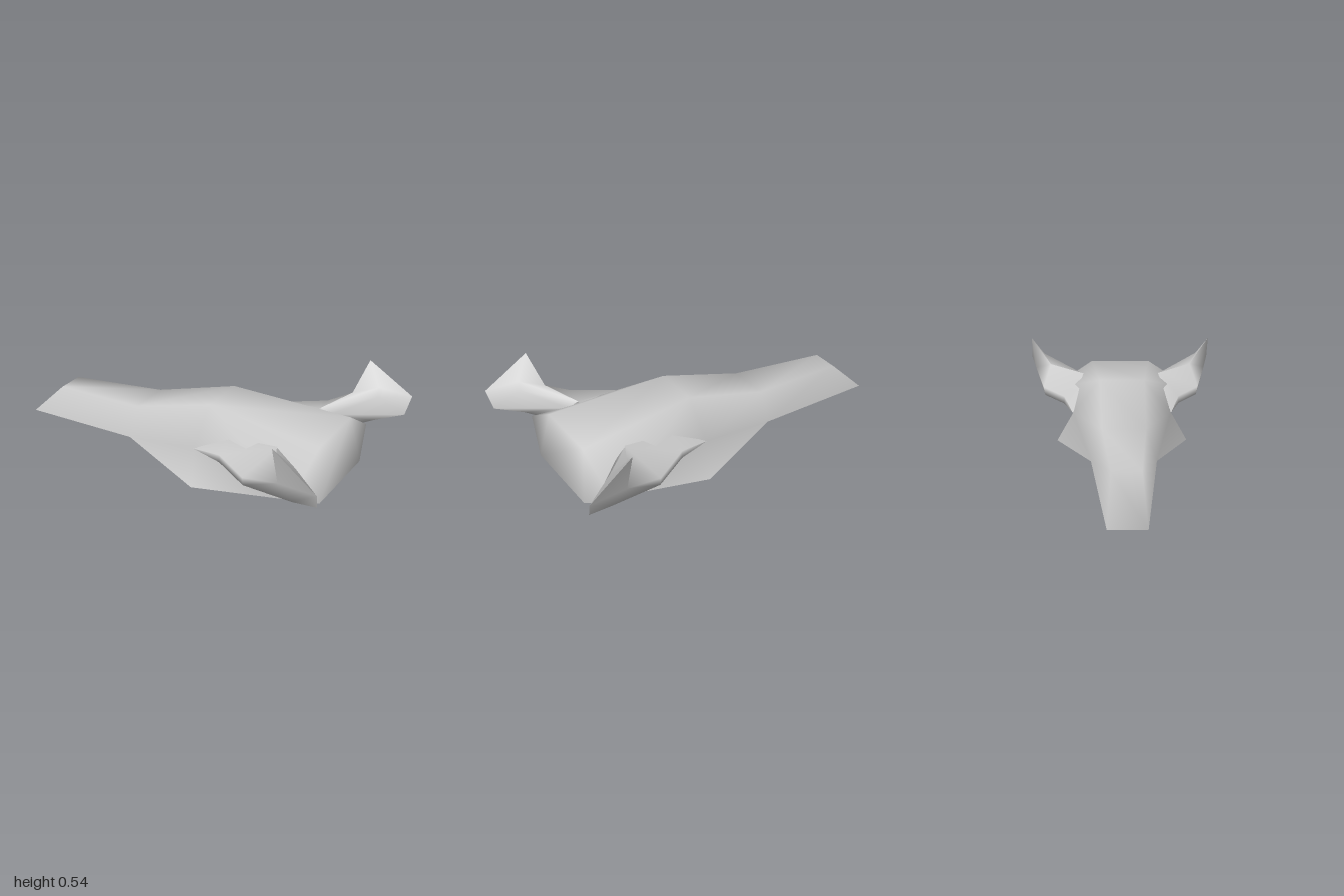
import * as THREE from 'three';

// Smooth indexed surface from points and faces (polygons are fanned)
function surface(points, faces) {
  const g = new THREE.BufferGeometry();
  g.setAttribute('position', new THREE.Float32BufferAttribute(points.flat(), 3));
  const index = [];
  for (const f of faces) {
    for (let i = 1; i < f.length - 1; i++) {
      const tri = [points[f[0]], points[f[i]], points[f[i + 1]]].map(String);
      if (new Set(tri).size === 3) index.push(f[0], f[i], f[i + 1]);
    }
  }
  g.setIndex(index);
  g.computeVertexNormals();
  return g;
}

// Mirror across z, keeping the faces outward
function mirrored(geometry) {
  const g = geometry.clone().scale(1, 1, -1);
  const a = g.index.array;
  for (let i = 0; i < a.length; i += 3) [a[i], a[i + 1]] = [a[i + 1], a[i]];
  g.computeVertexNormals();
  return g;
}

export function createModel() {
  const group = new THREE.Group();
  group.name = 'spacecraft';
  const hullGrey = new THREE.MeshStandardMaterial({ color: 0xcccccc, side: THREE.DoubleSide });
  hullGrey.name = 'hull grey';
  const add = (name, geometry) => {
    const mesh = new THREE.Mesh(geometry, hullGrey);
    mesh.name = name;
    group.add(mesh);
  };

  // Hull: one half, from nose to tail, then mirrored; open underneath
  const half = [
    [-1, 0, 0.09], [-0.8, 0.2, 0.07], // nose: bottom, top
    [-0.27, 0.09, 0.165], [-0.26, 0.255, 0.11], // neck: bottom, top
    [0.24, 0.06, 0.355], [0.2, 0.225, 0.265], [0.2, 0.405, 0.12], // shoulder: bottom, side, top
    [0.875, 0.125, 0.225], [0.815, 0.228, 0.42], [0.83, 0.39, 0.17], // tail: bottom, side, top
  ];
  const n = half.length;
  const sideFaces = [
    [0, 2, 3, 1], [2, 4, 5], [2, 5, 3], [3, 5, 6],
    [4, 7, 5], [5, 7, 8], [6, 5, 8], [6, 8, 9], [7, 9, 8],
  ];
  const topFaces = [[1, 3, 3 + n, 1 + n], [3, 6, 6 + n, 3 + n], [6, 9, 9 + n, 6 + n]];
  const endFaces = [[0, 1, 1 + n, n], [7, 7 + n, 9 + n, 9]];
  add('hull', surface(
    [...half, ...half.map(([x, y, z]) => [x, y, -z])],
    [...sideFaces, ...sideFaces.map((f) => f.map((i) => i + n).reverse()), ...topFaces, ...endFaces]
  ));

  // Wing: rows run from the root underside round the outer edge to the top ridge,
  // and the last station sweeps up into the fin
  const tip = [0.2, 0.225, 0.268];
  const root = [0.69, 0.33, 0.24];
  const ridge = [0.64, 0.358, 0.23], ridgeRear = [0.73, 0.392, 0.41];
  const finLow = [0.985, 0.3, 0.495], finTip = [1, 0.39, 0.538], finTop = [0.765, 0.54, 0.52];
  const lowerRear = [0.84, 0.247, 0.445];
  const rows = [
    [tip, [0.42, 0.235, 0.2], [0.65, 0.25, 0.13], root],
    [tip, [0.38, 0.235, 0.32], [0.58, 0.24, 0.437], lowerRear, finLow],
    [tip, [0.38, 0.275, 0.32], [0.58, 0.285, 0.445], [0.79, 0.36, 0.5], finTip],
    [tip, [0.38, 0.33, 0.215], ridge, ridgeRear, finTop],
    [tip, [0.37, 0.32, 0.06], [0.62, 0.33, 0.12]],
  ];
  const starts = [], wingPoints = [], wingFaces = [];
  for (const row of rows) {
    starts.push(wingPoints.length);
    wingPoints.push(...row);
  }
  for (let r = 0; r < rows.length - 1; r++) {
    const count = Math.min(rows[r].length, rows[r + 1].length);
    for (let s = 0; s < count - 1; s++) {
      const a = starts[r] + s, b = starts[r + 1] + s;
      wingFaces.push([a, a + 1, b + 1, b]);
    }
  }
  const wing = surface(wingPoints, wingFaces);

  // Inner side: wing wall from the ridge down to the root, and the fin's inner face
  const endTop = [0.85, 0.435, 0.455], endLow = [0.845, 0.38, 0.45];
  const innerSide = surface(
    [ridge, ridgeRear, endTop, endLow, root, finTop, finTip, finLow, lowerRear],
    [[0, 1, 2, 3, 4], [1, 5, 2], [2, 5, 6], [3, 2, 6], [3, 6, 7], [4, 3, 7], [4, 7, 8]]
  );

  for (const [part, geometry] of Object.entries({ WingAndFin: wing, WingInnerSide: innerSide })) {
    add('front' + part, geometry);
    add('back' + part, mirrored(geometry));
  }
  return group;
}
